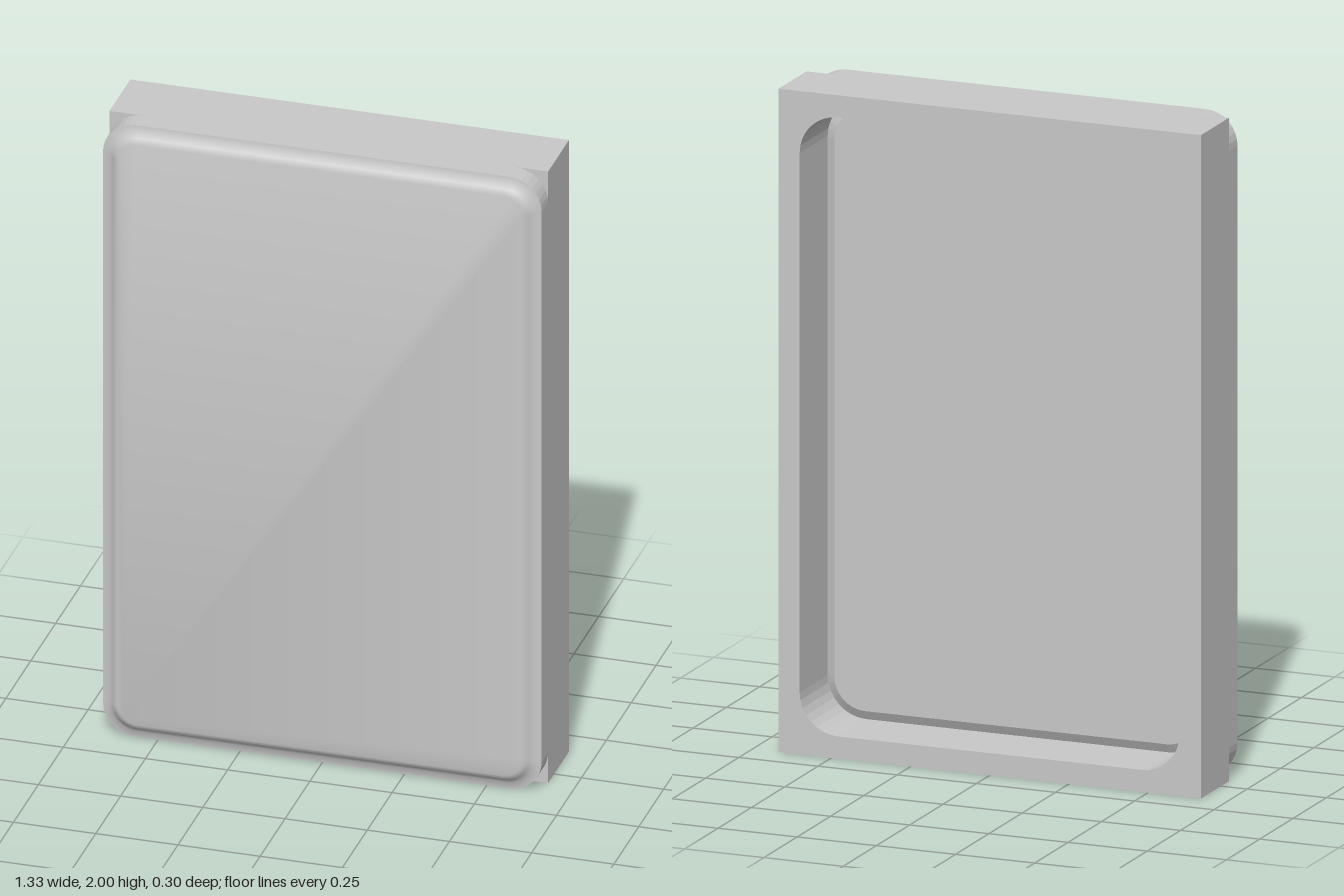
import * as THREE from 'three';

const W = 0.667, H = 1; // half width and half height
const SEG = 8;          // segments per rounded corner

// Corner-rounded outline, counter-clockwise, starting mid-way round the lower left corner.
// Each point carries the outward angle of its corner arc.
function outline(inset, r) {
  const pts = [], w = W - inset - r, h = H - inset - r;
  [[-1, -1], [1, -1], [1, 1], [-1, 1]].forEach(([sx, sy], c) => {
    for (let i = 0; i <= SEG; i++) {
      const angle = Math.PI + (c + i / SEG) * Math.PI / 2;
      const p = new THREE.Vector2(sx * w + r * Math.cos(angle), sy * h + r * Math.sin(angle));
      pts.push({ p, angle });
    }
  });
  return pts.concat(pts.splice(0, SEG / 2));
}

const points = (inset, r) => outline(inset, r).map(({ p }) => p);

function slab(name, outer, hole, z0, z1, material, bevel = {}) {
  const shape = new THREE.Shape(outer);
  if (hole) shape.holes.push(new THREE.Path(hole));
  const geo = new THREE.ExtrudeGeometry(shape, { depth: z1 - z0, bevelEnabled: false, ...bevel });
  const mesh = new THREE.Mesh(geo.translate(0, H, z0), material);
  mesh.name = name;
  return mesh;
}

// Softly rounded rim and gently pillowed face, as rings closed by a fan
function frontFace(material) {
  const n = 4 * (SEG + 1), pos = [], nor = [], idx = [];
  // inset, corner radius, z, outward tilt of the normal
  const rings = [[0, 0.1, 0.125, 0.1], [0.02, 0.085, 0.127, 0.4], [0.034, 0.075, 0.14, 0.9], [0.052, 0.06, 0.15, 0.17]];
  for (const [inset, r, z, tilt] of rings) {
    for (const { p, angle } of outline(inset, r)) {
      const v = new THREE.Vector3(Math.cos(angle) * tilt, Math.sin(angle) * tilt, 1).normalize();
      pos.push(p.x, p.y + H, z);
      nor.push(v.x, v.y, v.z);
    }
  }
  for (let j = 0; j < rings.length - 1; j++) {
    for (let i = 0; i < n; i++) {
      const a = j * n + i, b = j * n + (i + 1) % n;
      idx.push(a, b, b + n, a, b + n, a + n);
    }
  }
  const base = (rings.length - 1) * n;
  for (let i = 1; i < n - 1; i++) idx.push(base, base + i, base + i + 1);
  const geo = new THREE.BufferGeometry();
  geo.setAttribute('position', new THREE.Float32BufferAttribute(pos, 3));
  geo.setAttribute('normal', new THREE.Float32BufferAttribute(nor, 3));
  geo.setIndex(idx);
  const mesh = new THREE.Mesh(geo, material);
  mesh.name = 'frontFace';
  return mesh;
}

export function createModel() {
  const gray = new THREE.MeshStandardMaterial({ color: 0xc8c8c8 });
  gray.name = 'gray';
  const group = new THREE.Group();
  group.name = 'panel';

  // Square frame, open at the back
  const square = [[-W, -H], [W, -H], [W, H], [-W, H]].map(([x, y]) => new THREE.Vector2(x, y));
  group.add(slab('backFrame', square, points(0.067, 0.12), -0.15, 0.06, gray));

  // Rounded panel in front, with a bevelled back that shows inside the frame
  group.add(slab('panelPlate', points(0, 0.1), null, 0.06, 0.125, gray));
  group.add(slab('panelBack', points(0.095, 0.095), null, 0.06, 0.09, gray,
    { bevelEnabled: true, bevelSize: 0.028, bevelThickness: 0.015, bevelSegments: 1 }));
  group.add(frontFace(gray));
  return group;
}
